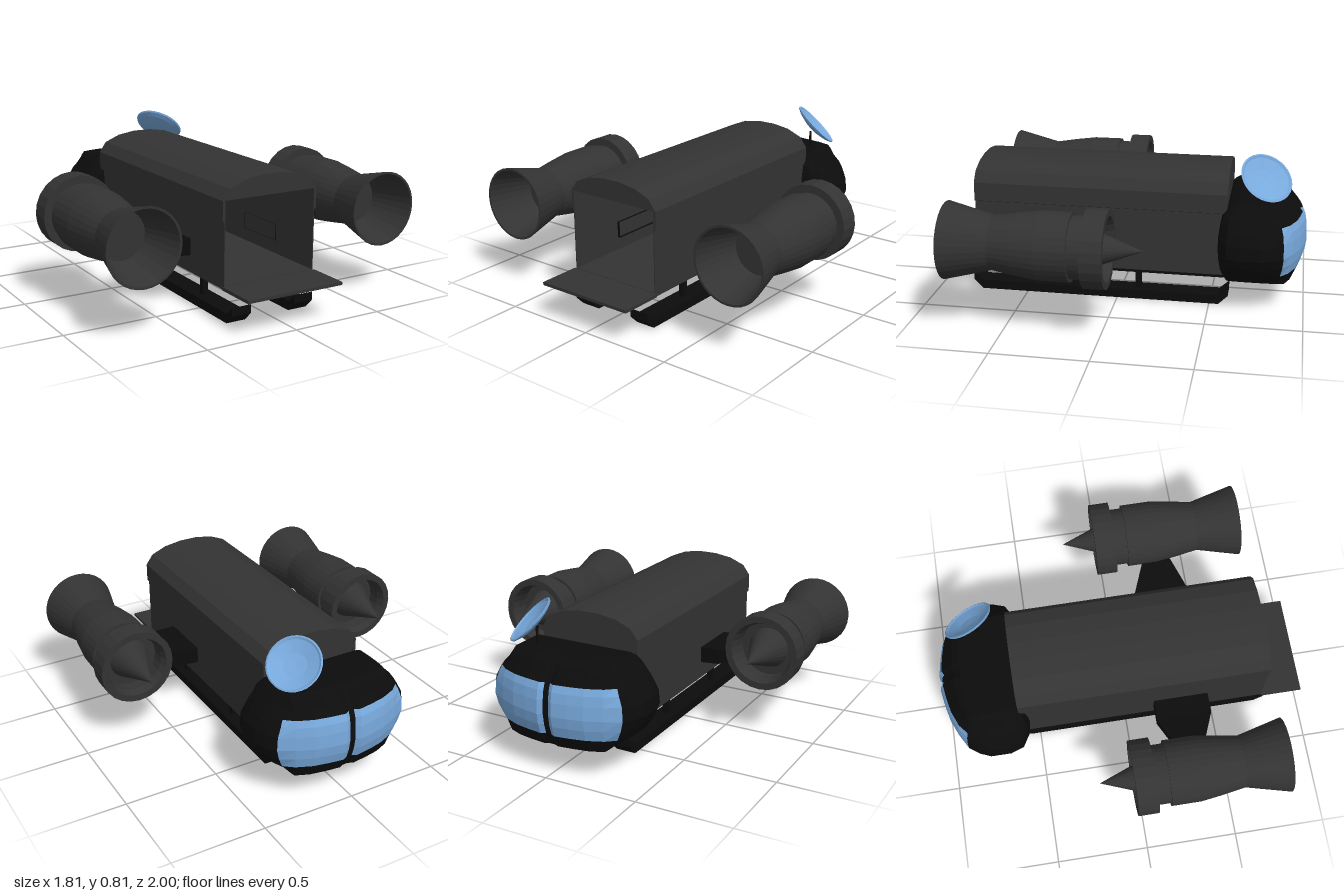
import * as THREE from 'three';

const material = (color) => new THREE.MeshStandardMaterial({ color, flatShading: true, side: THREE.DoubleSide });
const GREY = material(0x333333), BLACK = material(0x0c0c0c), BLUE = material(0x78a9dc);

function add(parent, name, geometry, mat, x = 0, y = 0, z = 0) {
  const mesh = new THREE.Mesh(geometry, mat);
  mesh.name = name;
  mesh.position.set(x, y, z);
  parent.add(mesh);
  return mesh;
}

function polygon(points) {
  return new THREE.Shape(points.map(([x, y]) => new THREE.Vector2(x, y)));
}

function fromTriangles(triangles) {
  const geometry = new THREE.BufferGeometry();
  geometry.setAttribute('position', new THREE.Float32BufferAttribute(triangles.flat(2), 3));
  geometry.computeVertexNormals();
  return geometry;
}

// Lathe whose axis runs along z; profile points are [z, radius]
function turned(profile, segments = 32) {
  return new THREE.LatheGeometry(profile.map(([z, r]) => new THREE.Vector2(r, z)), segments).rotateX(Math.PI / 2);
}

// Hollow cargo hull, open at the loading end, with ramp and upper bulkhead
function createHull() {
  const group = new THREE.Group();
  group.name = 'hull';
  const half = [[0.265, 0.18], [0.265, 0.52], [0.275, 0.525], [0.275, 0.625], [0.235, 0.68], [0.15, 0.715], [0.05, 0.73]];
  const shape = polygon([...half, ...half.map(([x, y]) => [-x, y]).reverse()]);
  shape.holes.push(polygon([[-0.26, 0.2], [-0.26, 0.625], [0.26, 0.625], [0.26, 0.2]]));
  add(group, 'hullShell', new THREE.ExtrudeGeometry(shape, { depth: 1.355, bevelEnabled: false }), GREY, 0, 0, -0.585);
  add(group, 'bulkhead', new THREE.BoxGeometry(0.53, 0.11, 0.02), GREY, 0, 0.575, -0.573);
  add(group, 'ramp', new THREE.BoxGeometry(0.55, 0.016, 0.23), GREY, 0, 0.19, 0.885);
  group.position.x = -0.005;
  return group;
}

// Hollow cockpit lofted from horizontal outlines, with two panes in its nose
function createCockpit() {
  const group = new THREE.Group();
  group.name = 'cockpit';
  const half = [[0.27, -0.54], [0.34, -0.55], [0.41, -0.59], [0.435, -0.66], [0.435, -0.77], [0.41, -0.83],
    [0.37, -0.885], [0.29, -0.93], [0.2, -0.968], [0.12, -0.987], [0.04, -1], [0.015, -0.985]];
  const outline = [...half, ...half.map(([x, z]) => [-x, z]).reverse()];
  // Level: height, half width, back z, nose z
  const levels = [[0.155, 0.28, -0.59, -0.945], [0.22, 0.37, -0.555, -0.975], [0.275, 0.41, -0.545, -0.992],
    [0.33, 0.433, -0.54, -1], [0.4, 0.425, -0.542, -0.996], [0.45, 0.395, -0.548, -0.987],
    [0.485, 0.37, -0.553, -0.972], [0.52, 0.335, -0.56, -0.94], [0.56, 0.3, -0.595, -0.905], [0.585, 0.27, -0.64, -0.865]];
  const rings = levels.map(([y, w, back, nose]) => outline.map(([x, z]) => {
    const ax = Math.abs(x);
    const wide = ax <= 0.27 ? ax : 0.27 + (ax - 0.27) * (w - 0.27) / 0.165;
    return [Math.sign(x) * wide, y, back + (nose - back) * (z + 0.54) / -0.46];
  }));
  const body = [], panes = [];
  const n = outline.length;
  for (let j = 0; j < rings.length - 1; j++) {
    for (let i = 0; i < n; i++) {
      const k = (i + 1) % n;
      const isDoorway = i === n - 1 && j < 7;
      if (isDoorway) continue;
      const inPane = (i >= 6 && i < 11) || (i >= 12 && i < 17);
      const target = inPane && j >= 1 && j < 6 ? panes : body;
      const [a, b, c, d] = [rings[j][i], rings[j][k], rings[j + 1][k], rings[j + 1][i]];
      target.push([a, b, c], [a, c, d]);
    }
  }
  // Floor and roof
  const top = rings.length - 1;
  for (let i = 0; i < n; i++) {
    const k = (i + 1) % n;
    body.push([[0, 0.155, -0.76], rings[0][k], rings[0][i]]);
    body.push([[0, 0.585, -0.76], rings[top][i], rings[top][k]]);
  }
  add(group, 'cockpitShell', fromTriangles(body), BLACK);
  add(group, 'windows', fromTriangles(panes), BLUE);
  return group;
}

// Tilted dish on a short post
function createDish() {
  const group = new THREE.Group();
  group.name = 'antenna';
  add(group, 'post', new THREE.CylinderGeometry(0.007, 0.007, 0.1, 8), BLACK, 0.2, 0.625, -0.745);
  const profile = [[0, -0.018], [0.06, -0.013], [0.11, 0], [0.137, 0.012], [0.142, 0.02], [0.134, 0.023],
    [0.124, 0.015], [0.06, -0.003], [0, -0.008]].map(([r, y]) => new THREE.Vector2(r, y));
  const dish = add(group, 'dish', new THREE.LatheGeometry(profile, 32), BLUE, 0.205, 0.7, -0.77);
  dish.quaternion.setFromUnitVectors(new THREE.Vector3(0, 1, 0), new THREE.Vector3(0.58, 0.71, -0.4).normalize());
  return group;
}

// Engine with intake ring, spike and flared nozzle
function createEngine(side) {
  const group = new THREE.Group();
  group.name = side > 0 ? 'leftEngine' : 'rightEngine';
  add(group, 'engineBody', turned([[0.07, 0], [0.07, 0.158], [0.14, 0.158], [0.14, 0.174], [0.3, 0.174], [0.42, 0.158],
    [0.54, 0.138], [0.78, 0.198], [0.78, 0.186], [0.54, 0.126], [0.54, 0]]), GREY);
  add(group, 'intakeRing', turned([[0.07, 0.15], [0.07, 0.2], [-0.04, 0.2], [-0.04, 0.165], [0.0, 0.15], [0.07, 0.15]], 24), GREY);
  add(group, 'intakeSpike', turned([[-0.215, 0], [-0.04, 0.066], [0.07, 0.108]], 24), GREY);
  group.position.set(side * 0.703, 0.46, 0);
  return group;
}

// Tapering pylon lofted outwards; section: x, low y, high y, front z, back z
function createPylon(side) {
  const sections = [[0.25, 0.27, 0.36, 0.15, 0.45], [0.38, 0.28, 0.36, 0.15, 0.45], [0.57, 0.355, 0.415, 0.23, 0.37]];
  const rings = sections.map(([x, y0, y1, z0, z1]) => [[y0, z0], [y0, z1], [y1, z1], [y1, z0]].map(([y, z]) => [side * x, y, z]));
  const triangles = [];
  for (let j = 0; j < 2; j++) {
    for (let i = 0; i < 4; i++) {
      const k = (i + 1) % 4;
      const [a, b, c, d] = [rings[j][i], rings[j][k], rings[j + 1][k], rings[j + 1][i]];
      if (side > 0) triangles.push([a, c, b], [a, d, c]);
      else triangles.push([a, b, c], [a, c, d]);
    }
  }
  return fromTriangles(triangles);
}

// Landing skid with upturned ends and two struts
function createSkid(x, name) {
  const group = new THREE.Group();
  group.name = name;
  const shape = polygon([[0.755, 0], [0.805, 0.05], [0.805, 0.095], [0.755, 0.05], [-0.55, 0.05], [-0.6, 0.095], [-0.6, 0.05], [-0.55, 0]]);
  const runner = new THREE.ExtrudeGeometry(shape, { depth: 0.11, bevelEnabled: false }).rotateY(-Math.PI / 2);
  add(group, 'runner', runner, BLACK, 0.055);
  for (const z of [0.45, -0.11]) add(group, 'strut', new THREE.BoxGeometry(0.03, 0.14, 0.03), BLACK, 0, 0.115, z);
  group.position.x = x;
  return group;
}

export function createModel() {
  const model = new THREE.Group();
  model.name = 'dropship';
  model.add(createHull(), createCockpit(), createDish());
  for (const side of [1, -1]) {
    model.add(createEngine(side));
    add(model, side > 0 ? 'leftPylon' : 'rightPylon', createPylon(side), BLACK);
  }
  model.add(createSkid(0.18, 'leftSkid'), createSkid(-0.19, 'rightSkid'));
  return model;
}
